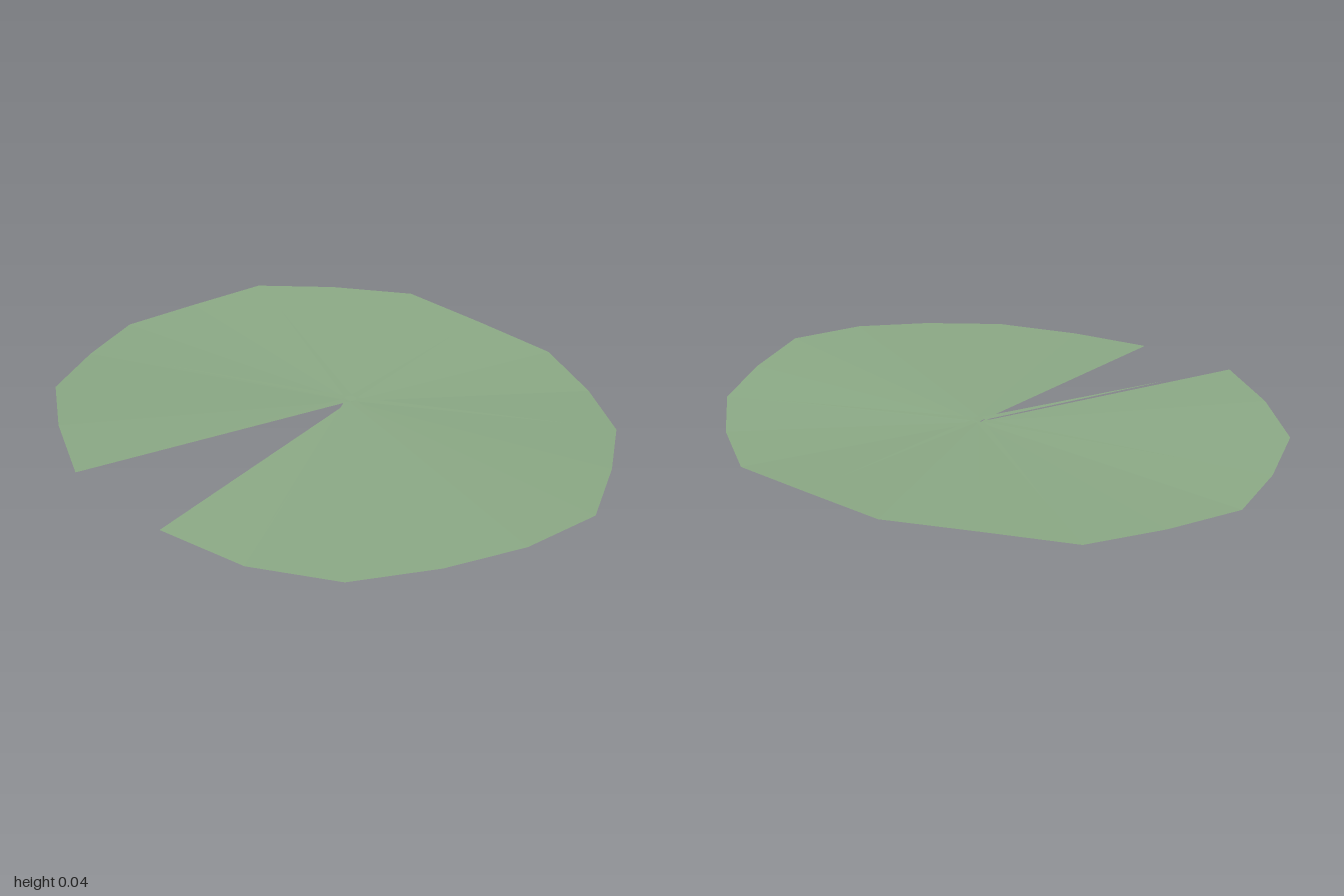
import * as THREE from 'three';

const CENTRE = [-0.01, -0.1];
const CENTRE_Y = 0.014;

// Rim corners (x, z), from one side of the notch round to the other
const RIM = [
  [0.06, 0.84], [0.36, 0.79], [0.63, 0.66], [0.81, 0.44], [0.94, 0.21],
  [1, -0.05], [0.89, -0.31], [0.76, -0.54], [0.54, -0.71], [0.28, -0.845],
  [-0.03, -0.84], [-0.34, -0.83], [-0.6, -0.68], [-0.84, -0.52], [-0.93, -0.26],
  [-1, 0], [-0.93, 0.25], [-0.82, 0.5], [-0.6, 0.67], [-0.34, 0.82],
];
const VEIN_TIPS = [
  [-0.03, -0.7], [0.62, -0.46], [0.74, 0.14], [0.29, 0.63],
  [-0.25, 0.58], [-0.77, 0.18], [-0.63, -0.42],
];

// The rim rises and falls three times round the leaf
const rimHeight = (x, z) => 0.018 + 0.018 * Math.cos(3 * Math.atan2(z, x));

function surface(points) {
  const geometry = new THREE.BufferGeometry();
  geometry.setAttribute('position', new THREE.Float32BufferAttribute(points, 3));
  geometry.computeVertexNormals();
  return geometry;
}

export function createModel() {
  const model = new THREE.Group();
  const green = new THREE.MeshStandardMaterial({ color: 0x8caa86, flatShading: true, side: THREE.DoubleSide });
  green.name = 'leafGreen';

  // Leaf: a fan of facets round the stem point
  const corners = RIM.map(([x, z]) => [x, rimHeight(x, z), z]);
  const points = [];
  for (let i = 0; i < corners.length - 1; i++) {
    points.push(CENTRE[0], CENTRE_Y, CENTRE[1], ...corners[i], ...corners[i + 1]);
  }
  const leaf = new THREE.Mesh(surface(points), green);
  leaf.name = 'leaf';
  model.add(leaf);

  // Veins: thin tapering slivers just above the leaf
  const veins = new THREE.Group();
  veins.name = 'veins';
  for (const [x, z] of VEIN_TIPS) {
    const dx = x - CENTRE[0], dz = z - CENTRE[1];
    const length = Math.hypot(dx, dz);
    const ux = dx / length, uz = dz / length;
    const baseX = CENTRE[0] + ux * 0.02, baseZ = CENTRE[1] + uz * 0.02;
    const tipY = CENTRE_Y + (rimHeight(x, z) - CENTRE_Y) * 0.75 + 0.006;
    const half = 0.013;
    const vein = new THREE.Mesh(surface([
      baseX - uz * half, CENTRE_Y + 0.01, baseZ + ux * half,
      x, tipY, z,
      baseX + uz * half, CENTRE_Y + 0.01, baseZ - ux * half,
    ]), green);
    vein.name = 'vein';
    veins.add(vein);
  }
  model.add(veins);
  return model;
}
